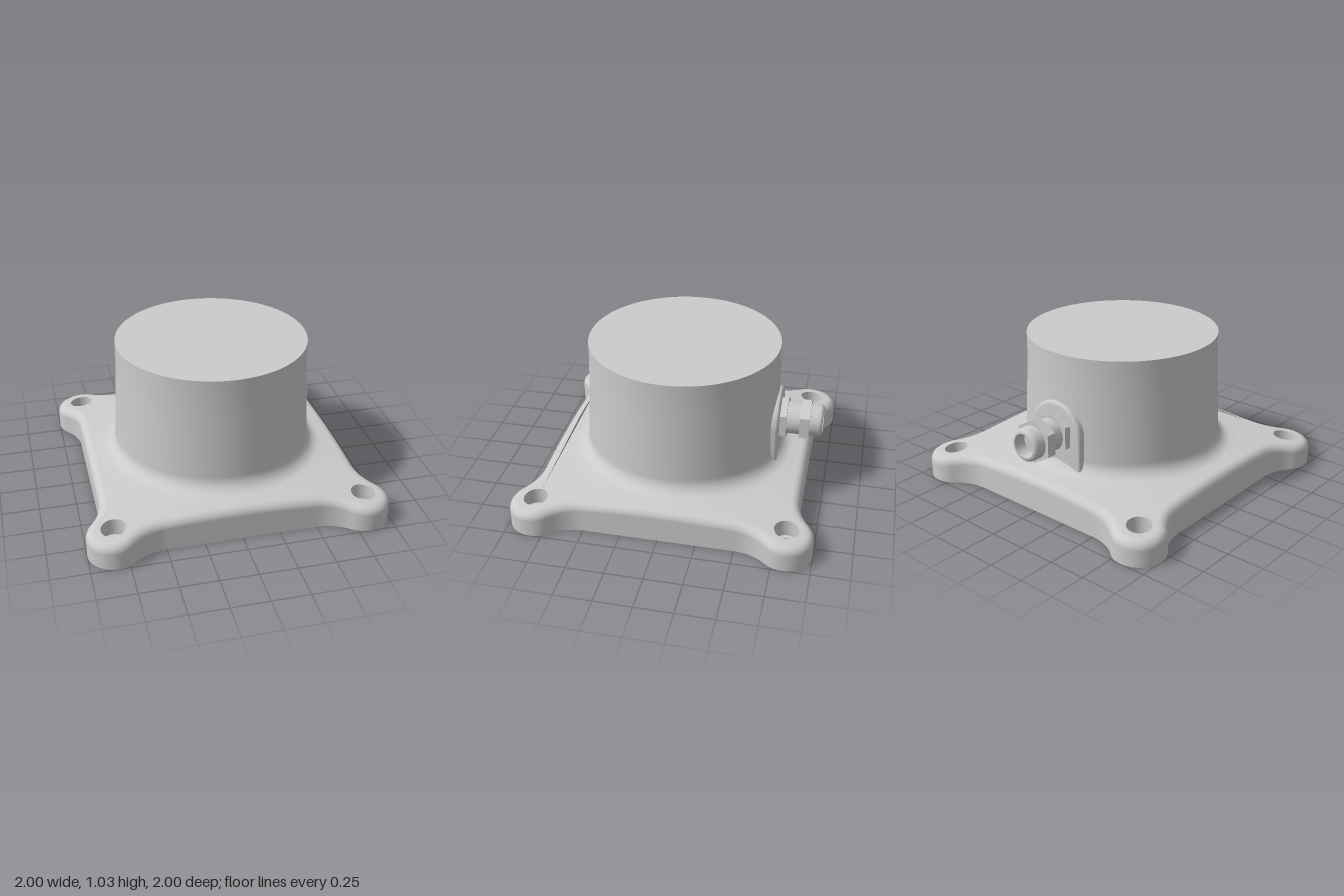
import * as THREE from 'three';
import { toCreasedNormals } from 'three/addons/utils/BufferGeometryUtils.js';

const EAR = 0.826, EAR_R = 0.174, SIDE = 0.877, NECK_R = 0.32, EDGE = 0.06;
const BORE_R = 0.08, HOLE_R = 0.05, FOOT_R = 0.8;
const V2 = (x, y) => new THREE.Vector2(x, y);

// Height of the gently conical plate top at a distance from the axis
const topHeight = (r) => 0.235 - 0.13 * (r - FOOT_R);

// Plate outline with outward normals: flat sides, concave necks, round ears
function plateOutline() {
  const list = [], t = 0.72;
  const arc = (turn, cx, cy, r, a0, a1, n, sign) => {
    for (let i = 0; i < n; i++) {
      const a = a0 + ((a1 - a0) * i) / n;
      const nrm = V2(Math.cos(a), Math.sin(a));
      const p = V2(cx, cy).addScaledVector(nrm, r);
      nrm.multiplyScalar(sign);
      const o = V2(0, 0);
      list.push({ p: p.rotateAround(o, turn), n: nrm.rotateAround(o, turn) });
    }
  };
  for (let q = 0; q < 4; q++) {
    const turn = (q * Math.PI) / 2, far = SIDE + NECK_R, o = V2(0, 0);
    arc(turn, far, 0.5, NECK_R, Math.PI, Math.PI - t, 8, -1);
    arc(turn, EAR, EAR, EAR_R, -t, Math.PI / 2 + t, 28, 1);
    arc(turn, 0.5, far, NECK_R, t - Math.PI / 2, -Math.PI / 2, 8, -1);
    for (let i = 0; i < 16; i++) {
      list.push({ p: V2(0.5 - i / 16, SIDE).rotateAround(o, turn), n: V2(0, 1).rotateAround(o, turn) });
    }
  }
  return list;
}

const inset = ({ p, n }, d) => p.clone().addScaledVector(n, -d);

function circlePath(x, y, r, n) {
  const pts = [];
  for (let i = 0; i < n; i++) {
    const a = (-i / n) * Math.PI * 2;
    pts.push(V2(x + r * Math.cos(a), y + r * Math.sin(a)));
  }
  return new THREE.Path(pts);
}

const corners = [[1, 1], [-1, 1], [-1, -1], [1, -1]].map(([x, y]) => [x * EAR, y * EAR]);

// Vertical wall and rounded upper edge of the plate
function rimGeometry(outline) {
  const steps = 6, rows = steps + 2, pos = [], idx = [], n = outline.length;
  outline.forEach((o) => {
    const h = topHeight(inset(o, EDGE).length()) - EDGE;
    for (let k = 0; k < rows; k++) {
      const a = (Math.max(0, k - 1) / steps) * (Math.PI / 2);
      const p = inset(o, EDGE * (1 - Math.cos(a)));
      pos.push(p.x, k === 0 ? 0 : h + EDGE * Math.sin(a), -p.y);
    }
  });
  for (let i = 0; i < n; i++) {
    for (let k = 0; k < rows - 1; k++) {
      const a = i * rows + k, b = ((i + 1) % n) * rows + k;
      idx.push(a, b, b + 1, a, b + 1, a + 1);
    }
  }
  const g = new THREE.BufferGeometry();
  g.setAttribute('position', new THREE.Float32BufferAttribute(pos, 3));
  g.setIndex(idx);
  g.computeVertexNormals();
  return g;
}

// Conical top face, open for the drum foot and the bolt holes
function topGeometry(outline) {
  const shape = new THREE.Shape(outline.map((o) => inset(o, EDGE)));
  shape.holes.push(circlePath(0, 0, FOOT_R, 96));
  corners.forEach(([x, y]) => shape.holes.push(circlePath(x, y, BORE_R, 32)));
  const g = new THREE.ShapeGeometry(shape).rotateX(-Math.PI / 2);
  const p = g.attributes.position, nrm = g.attributes.normal, v = new THREE.Vector3();
  for (let i = 0; i < p.count; i++) {
    const x = p.getX(i), z = p.getZ(i), r = Math.hypot(x, z);
    p.setY(i, topHeight(r));
    v.set((0.13 * x) / r, 1, (0.13 * z) / r).normalize();
    nrm.setXYZ(i, v.x, v.y, v.z);
  }
  return g;
}

function bottomGeometry(outline) {
  const shape = new THREE.Shape(outline.map((o) => o.p));
  corners.forEach(([x, y]) => shape.holes.push(circlePath(x, y, HOLE_R, 32)));
  return new THREE.ShapeGeometry(shape).rotateX(Math.PI / 2);
}

// Counterbored bolt hole whose lip follows the plate top
function boltHoleGeometry(x, z) {
  const pts = [V2(BORE_R, 1), V2(BORE_R, 0.08), V2(HOLE_R, 0.08), V2(HOLE_R, 0)];
  const g = new THREE.LatheGeometry(pts, 32).translate(x, 0, z);
  const p = g.attributes.position;
  for (let i = 0; i < p.count; i++) {
    if (p.getY(i) > 0.9) p.setY(i, topHeight(Math.hypot(p.getX(i), p.getZ(i))));
  }
  return toCreasedNormals(g, 0.6);
}

export function createModel() {
  const model = new THREE.Group();
  const grey = new THREE.MeshStandardMaterial({ color: 0xcccccc });
  const add = (name, geometry, parent = model) => {
    const mesh = new THREE.Mesh(geometry, grey);
    mesh.name = name;
    parent.add(mesh);
    return mesh;
  };

  // Mounting plate
  const plate = new THREE.Group();
  plate.name = 'mountingPlate';
  model.add(plate);
  const outline = plateOutline();
  add('plateRim', rimGeometry(outline), plate);
  add('plateTop', topGeometry(outline), plate);
  add('plateBottom', bottomGeometry(outline), plate);
  corners.forEach(([x, z]) => add('boltHole', boltHoleGeometry(x, z), plate));

  // Drum: filleted foot, slight taper, flat lid
  const profile = [V2(FOOT_R, 0.235)];
  for (let i = 0; i <= 8; i++) {
    const a = (i / 8) * (Math.PI / 2);
    profile.push(V2(0.775 - 0.105 * Math.sin(a), 0.34 - 0.1 * Math.cos(a)));
  }
  profile.push(V2(0.66, 0.55), V2(0.65, 0.78), V2(0.645, 0.9), V2(0.645, 1.03));
  add('drum', new THREE.LatheGeometry(profile, 96));
  add('drumLid', new THREE.CircleGeometry(0.645, 96).rotateX(-Math.PI / 2).translate(0, 1.03, 0));

  // Arched flat pad on the back of the drum
  const arch = new THREE.Shape();
  arch.moveTo(-0.19, 0.2);
  arch.lineTo(0.19, 0.2);
  arch.lineTo(0.19, 0.5);
  arch.absarc(0, 0.5, 0.19, 0, Math.PI, false);
  const pad = new THREE.ExtrudeGeometry(arch, {
    depth: 0.16, bevelSize: 0.02, bevelThickness: 0.02, bevelOffset: 0, bevelSegments: 3, curveSegments: 32,
  });
  add('glandPad', toCreasedNormals(pad.translate(0, 0, -0.655), 0.6));

  // Cable gland pointing backwards
  const gland = new THREE.Group();
  gland.name = 'cableGland';
  gland.position.y = 0.5;
  model.add(gland);
  const body = [V2(0.11, 0.66), V2(0.11, 0.935), V2(0.107, 0.947), V2(0.1, 0.955), V2(0.09, 0.96),
    V2(0.08, 0.96), V2(0.08, 0.83), V2(0, 0.83)];
  const bodyGeometry = new THREE.LatheGeometry(body, 40).rotateX(-Math.PI / 2);
  add('glandBody', toCreasedNormals(bodyGeometry, 0.7), gland);
  [[0.67, 0.72], [0.81, 0.875]].forEach(([a, b]) => {
    const nut = new THREE.CylinderGeometry(0.15, 0.15, b - a, 6).rotateX(-Math.PI / 2);
    add('hexNut', toCreasedNormals(nut.translate(0, 0, -(a + b) / 2), 0.5), gland);
  });
  return model;
}
